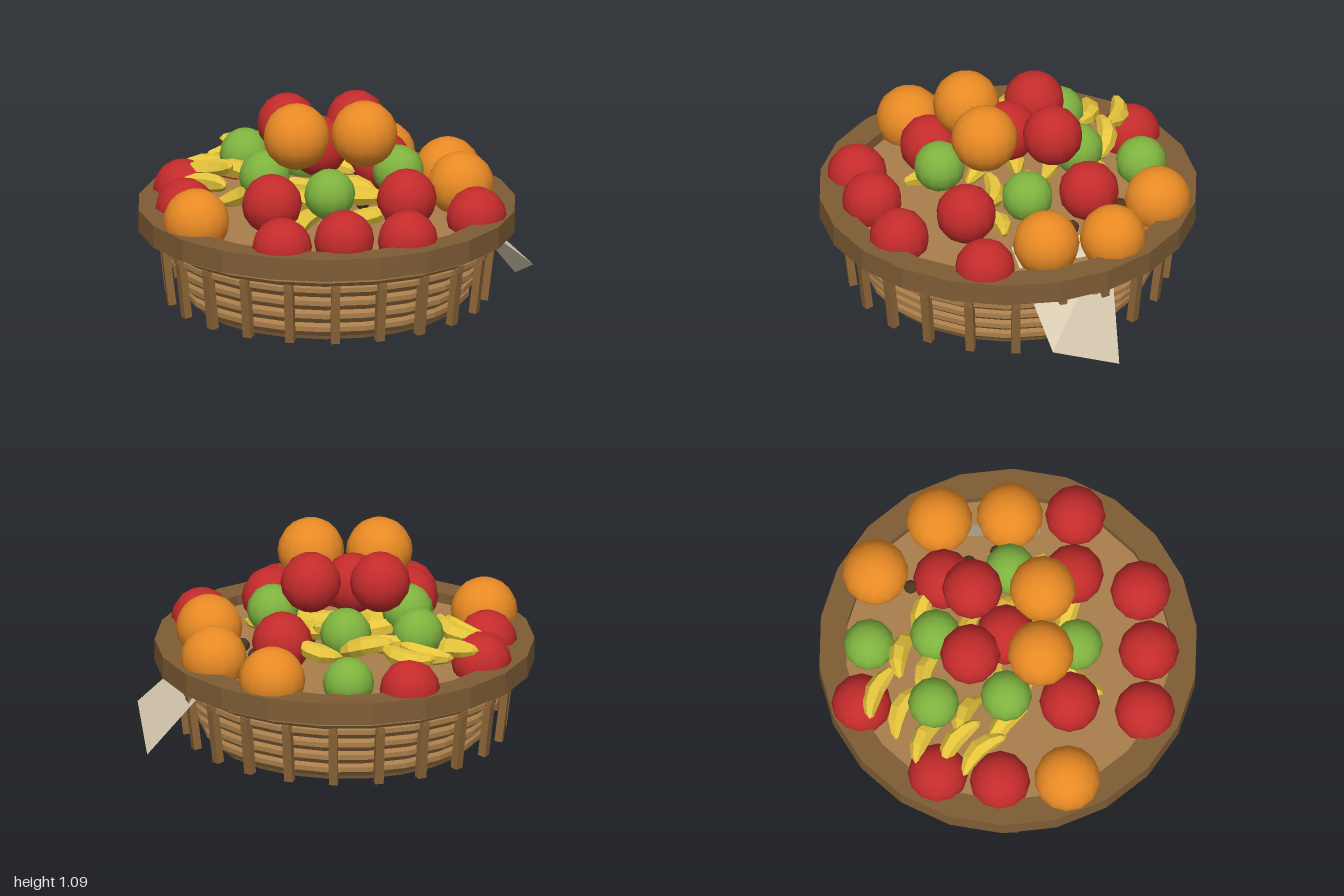
import * as THREE from 'three';

const SIDES = 22;
const mat = (color, flat = false, side = THREE.FrontSide) =>
  new THREE.MeshStandardMaterial({ color, flatShading: flat, side });

const wood = mat(0x7f5d35, true);
const weave = mat(0xaa7e4b, true, THREE.DoubleSide);
const stick = mat(0x8c6538, true);
const base = mat(0x6f5432, true);
const red = mat(0xc42b2b);
const orange = mat(0xe88a24);
const green = mat(0x7fb33f);
const yellow = mat(0xe6c53c, true);
const brown = mat(0x4d3620);
const paper = mat(0xd8cbb2, true, THREE.DoubleSide);

function add(parent, name, geometry, material, x = 0, y = 0, z = 0) {
  const mesh = new THREE.Mesh(geometry, material);
  mesh.name = name;
  mesh.position.set(x, y, z);
  parent.add(mesh);
  return mesh;
}

// Ring of revolution with its corners on the x axis
const turned = (points) =>
  new THREE.LatheGeometry(points.map(([r, y]) => new THREE.Vector2(r, y)), SIDES, Math.PI / 2);

// Tapered, bent, low-poly banana lying along x
function bananaGeometry() {
  const g = new THREE.SphereGeometry(1, 6, 6);
  g.rotateZ(Math.PI / 2);
  const p = g.attributes.position;
  for (let i = 0; i < p.count; i++) {
    const t = p.getX(i);
    p.setXYZ(i, t * 0.15, p.getY(i) * 0.05, p.getZ(i) * 0.05 + 0.05 * t * t - 0.02);
  }
  g.computeVertexNormals();
  return g;
}

function buildBasket() {
  const basket = new THREE.Group();
  basket.name = 'basket';

  add(basket, 'rim', turned([[0.82, 0.395], [0.957, 0.395], [0.957, 0.51], [0.82, 0.51], [0.82, 0.395]]), wood);
  add(basket, 'rimCollar', turned([[0.8, 0.335], [0.85, 0.335], [0.905, 0.37], [0.905, 0.397]]), weave);

  // Woven wall: each band leans out, then steps back in
  const wall = [];
  for (let i = 0; i < 4; i++) {
    const y = 0.02 + i * 0.08;
    const r = 0.68 + i * 0.037;
    wall.push([r, y], [r + 0.045, y + 0.035], [r + 0.045, y + 0.06], [r + 0.025, y + 0.08]);
  }
  add(basket, 'wovenWall', turned(wall), weave);

  const bottom = add(basket, 'base', new THREE.CylinderGeometry(0.67, 0.67, 0.025, SIDES), base, 0, 0.0125, 0);
  bottom.rotation.y = Math.PI / 2;
  const fill = add(basket, 'innerTray', new THREE.CylinderGeometry(0.83, 0.83, 0.03, SIDES), weave, 0, 0.44, 0);
  fill.rotation.y = Math.PI / 2;

  // Upright staves, leaning slightly outwards, each pegged to the collar
  const staveGeometry = new THREE.BoxGeometry(0.045, 0.31, 0.04);
  const pegGeometry = new THREE.BoxGeometry(0.035, 0.03, 0.08);
  for (let i = 0; i < SIDES; i++) {
    const stave = new THREE.Group();
    stave.name = 'stave';
    stave.rotation.y = -0.08 + (i * Math.PI * 2) / SIDES;
    add(stave, 'staveUpright', staveGeometry, stick, 0, 0.177, 0.815).rotation.x = 0.12;
    add(stave, 'stavePeg', pegGeometry, stick, 0, 0.325, 0.82);
    basket.add(stave);
  }
  basket.position.x = -0.043;
  return basket;
}

function buildFruit() {
  const fruit = new THREE.Group();
  fruit.name = 'fruit';

  // Round fruit: x, y, z of each centre
  const kinds = [
    ['redApple', new THREE.SphereGeometry(0.153, 12, 8), red, [
      [-0.365, 0.505, 0.7], [-0.05, 0.535, 0.71], [0.28, 0.505, 0.66], [0.675, 0.505, 0.32],
      [-0.365, 0.615, 0.32], [0.32, 0.615, 0.32], [0.275, 0.615, -0.335], [-0.365, 0.505, -0.73],
      [-0.73, 0.505, -0.335], [-0.76, 0.505, -0.02], [-0.085, 0.81, -0.01],
      [-0.22, 0.88, -0.185], [0.13, 0.88, -0.185]]],
    ['orange', new THREE.SphereGeometry(0.168, 14, 10), orange, [
      [-0.22, 0.92, 0.17], [0.125, 0.92, 0.17], [-0.75, 0.54, 0.32],
      [0.64, 0.575, -0.01], [0.62, 0.54, -0.365], [0.33, 0.54, -0.68]]],
    ['greenApple', new THREE.SphereGeometry(0.13, 12, 8), green, [
      [-0.075, 0.665, 0.35], [-0.36, 0.665, 0], [0.32, 0.665, 0],
      [-0.41, 0.67, -0.365], [-0.045, 0.67, -0.365], [-0.055, 0.53, -0.7]]],
    ['nut', new THREE.SphereGeometry(0.036, 8, 6), brown, [
      [0.27, 0.5, -0.5], [0.41, 0.5, -0.21], [0.47, 0.5, -0.07], [0.14, 0.5, 0]]],
  ];
  for (const [name, geometry, material, places] of kinds)
    for (const [x, y, z] of places) add(fruit, name, geometry, material, x, y, z);

  // Bananas: x, y, z and heading
  const banana = bananaGeometry();
  [
    [-0.35, 0.65, -0.65, -0.4], [-0.44, 0.62, -0.52, -0.4], [-0.14, 0.66, -0.53, -0.35],
    [0.08, 0.6, -0.43, -0.2], [-0.23, 0.63, -0.4, -0.3], [-0.57, 0.6, -0.4, -0.5],
    [-0.6, 0.64, -0.24, -0.7], [-0.64, 0.6, -0.12, -0.8], [-0.45, 0.62, -0.2, -0.5],
    [-0.48, 0.57, 0, -0.9], [-0.02, 0.64, -0.2, -0.2], [-0.2, 0.56, 0.12, -0.4],
    [0.1, 0.58, 0.12, -0.2], [0.31, 0.53, 0.16, 0.2], [-0.2, 0.52, 0.36, 0.9],
    [0.1, 0.52, 0.3, -0.3], [-0.2, 0.58, -0.05, 0.2], [0.1, 0.57, -0.05, -0.5],
  ].forEach(([x, y, z, heading], i) => {
    const b = add(fruit, 'banana', banana, yellow, x, y, z);
    b.rotation.set(((i % 3) - 1) * 0.5, heading, ((i % 2) - 0.5) * 0.25);
  });
  return fruit;
}

// Flat paper tag pushed through the side of the basket
function tagGeometry() {
  const g = new THREE.BufferGeometry();
  g.setAttribute('position', new THREE.Float32BufferAttribute([
    1, 0.155, 0.055, 0.955, 0, -0.305, 0.53, 0.53, -0.37, 0.56, 0.53, 0.15], 3));
  g.setIndex([0, 1, 2, 0, 2, 3]);
  g.computeVertexNormals();
  return g;
}

export function createModel() {
  const model = new THREE.Group();
  model.name = 'fruitBasket';
  model.add(buildBasket(), buildFruit());
  add(model, 'paperTag', tagGeometry(), paper);
  return model;
}
